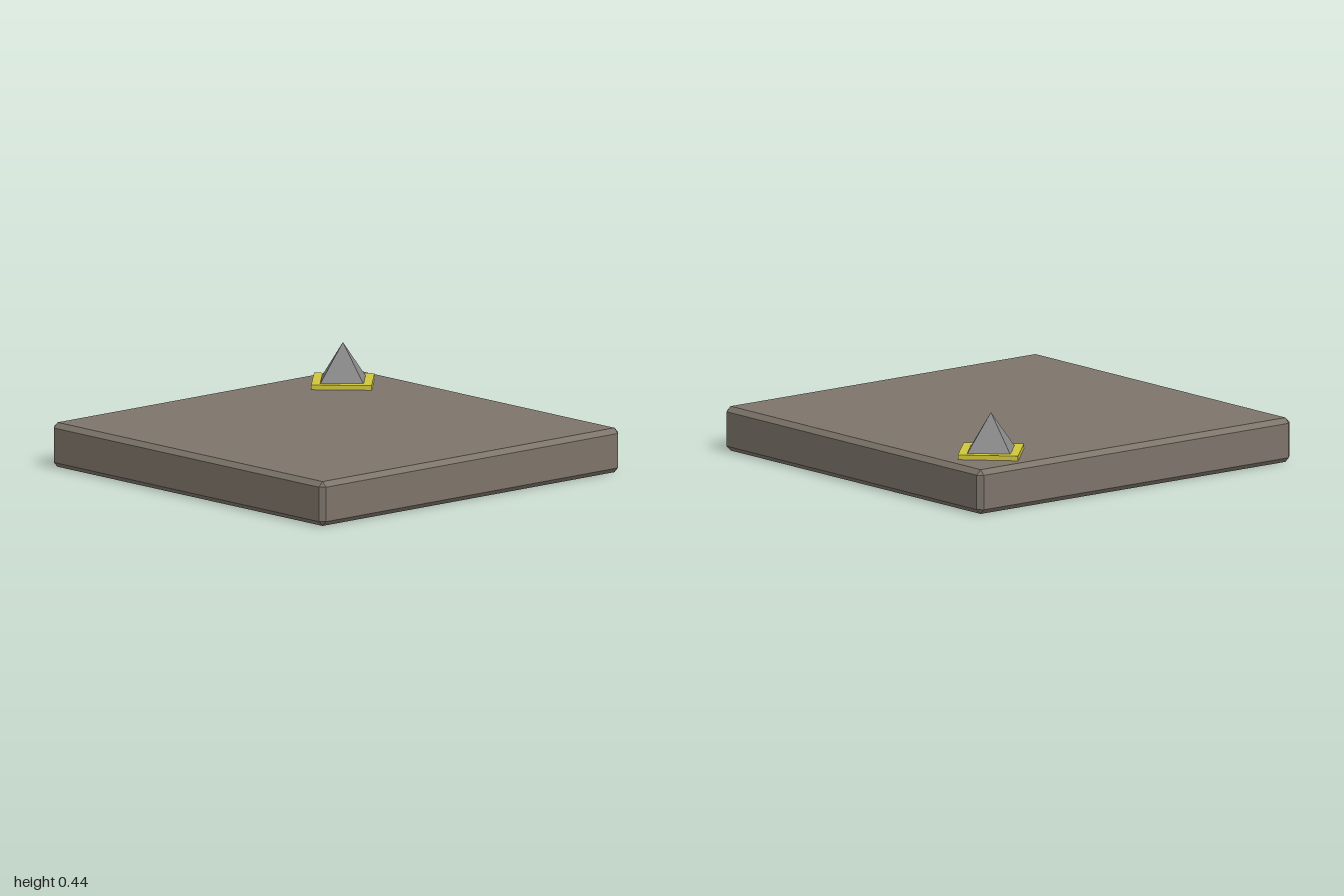
import * as THREE from 'three';

const material = (color) =>
  new THREE.MeshStandardMaterial({ color, flatShading: true, side: THREE.DoubleSide });

// Square ring with corners cut by c, counter-clockwise seen from above
function ring(y, half, c) {
  const points = [];
  let pair = [[half, c - half], [half - c, -half]];
  for (let k = 0; k < 4; k++) {
    pair.forEach(([x, z]) => points.push(new THREE.Vector3(x, y, z)));
    pair = pair.map(([x, z]) => [z, -x]);
  }
  return points;
}

// Chamfered square shell, closed on top and open underneath
function chamferedShell(half, height, c) {
  const rings = [
    ring(0, half - c, 0),
    ring(c, half, c),
    ring(height - c, half, c),
    ring(height, half - c, 0),
  ];
  const positions = [];
  const triangle = (a, b, d) => {
    if (new THREE.Triangle(a, b, d).getArea() > 1e-9) {
      [a, b, d].forEach((p) => positions.push(p.x, p.y, p.z));
    }
  };
  for (let i = 0; i < 3; i++) {
    for (let j = 0; j < 8; j++) {
      const n = (j + 1) % 8;
      triangle(rings[i][j], rings[i][n], rings[i + 1][n]);
      triangle(rings[i][j], rings[i + 1][n], rings[i + 1][j]);
    }
  }
  const top = rings[3];
  triangle(top[0], top[2], top[4]);
  triangle(top[0], top[4], top[6]);
  const geometry = new THREE.BufferGeometry();
  geometry.setAttribute('position', new THREE.Float32BufferAttribute(positions, 3));
  geometry.computeVertexNormals();
  return geometry;
}

const diamond = (r) => [[r, 0], [0, r], [-r, 0], [0, -r]].map(([x, y]) => new THREE.Vector2(x, y));

export function createModel() {
  const model = new THREE.Group();
  const add = (name, geometry, color, parent) => {
    const mesh = new THREE.Mesh(geometry, material(color));
    mesh.name = name;
    parent.add(mesh);
    return mesh;
  };

  // Floor slab
  const slabHeight = 0.224;
  add('slab', chamferedShell(1, slabHeight, 0.025), 0x7d746a, model);

  // Corner spike standing in a diamond frame
  const corner = new THREE.Group();
  corner.name = 'cornerSpike';
  corner.position.set(0.7, slabHeight, -0.72);
  model.add(corner);

  const outline = new THREE.Shape(diamond(0.212));
  outline.holes.push(new THREE.Path(diamond(0.152)));
  const frame = new THREE.ExtrudeGeometry(outline, { depth: 0.024, bevelEnabled: false });
  frame.rotateX(-Math.PI / 2);
  add('frame', frame, 0xd0c63c, corner);

  const spikeHeight = 0.19;
  const spike = new THREE.ConeGeometry(0.152, spikeHeight, 4, 1, true);
  spike.translate(0, 0.021 + spikeHeight / 2, 0);
  add('spike', spike, 0x8a8a8a, corner);

  return model;
}
